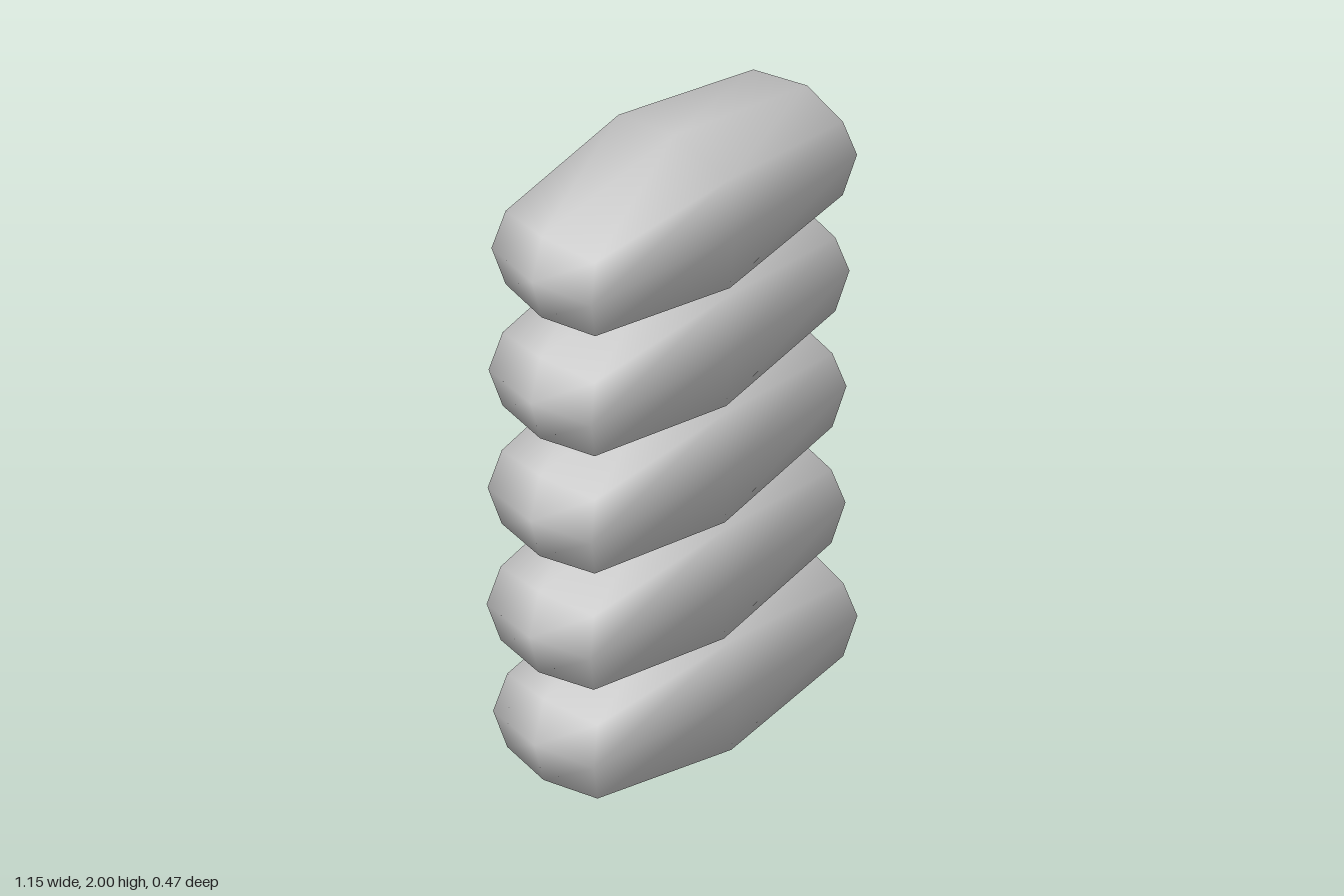
import * as THREE from 'three';
import { mergeVertices } from 'three/addons/utils/BufferGeometryUtils.js';

// One bulging pillow: a 2x2x2 grid box whose edges and corners are pulled inward.
function pillowGeometry() {
  const box = new THREE.BoxGeometry(2, 2, 2, 2, 2, 2);
  box.deleteAttribute('normal');
  box.deleteAttribute('uv');
  const geo = mergeVertices(box);
  const p = geo.attributes.position;
  // reach along each axis: [face centre, edge midpoint(s), corner]
  const end = [0.557, 0.52, 0.485];
  const top = [0.225, 0.185, 0.12];
  const bottom = [0.2, 0.185, 0.13];
  const side = [0.237, 0.22, 0.177];
  for (let i = 0; i < p.count; i++) {
    const x = Math.round(p.getX(i)), y = Math.round(p.getY(i)), z = Math.round(p.getZ(i));
    const n = Math.abs(x) + Math.abs(y) + Math.abs(z) - 1;
    const ty = (y > 0 ? top : bottom)[n];
    // the edges around the two ends are smaller than those around the middle
    const py = n === 1 && x !== 0 ? 0.137 : ty;
    const pz = n === 1 && x !== 0 ? 0.198 : side[n];
    p.setXYZ(i, x * end[n], y * py, z * pz);
  }
  geo.computeVertexNormals();
  return geo;
}

export function createModel() {
  const group = new THREE.Group();
  group.name = 'pillowStack';
  const material = new THREE.MeshStandardMaterial({ color: 0xcccccc });
  const geometry = pillowGeometry();

  // Sideways shift and slight turn of each pillow, bottom to top
  const layers = [[0.017, -0.02], [-0.02, 0.012], [-0.016, 0.012], [-0.008, 0], [0.013, -0.028]];
  layers.forEach(([shift, turn], i) => {
    const pillow = new THREE.Mesh(geometry, material);
    pillow.name = `pillow${i + 1}`;
    pillow.position.set(shift, 0.2 + 0.3938 * i, 0);
    pillow.rotation.y = turn;
    group.add(pillow);
  });
  return group;
}
